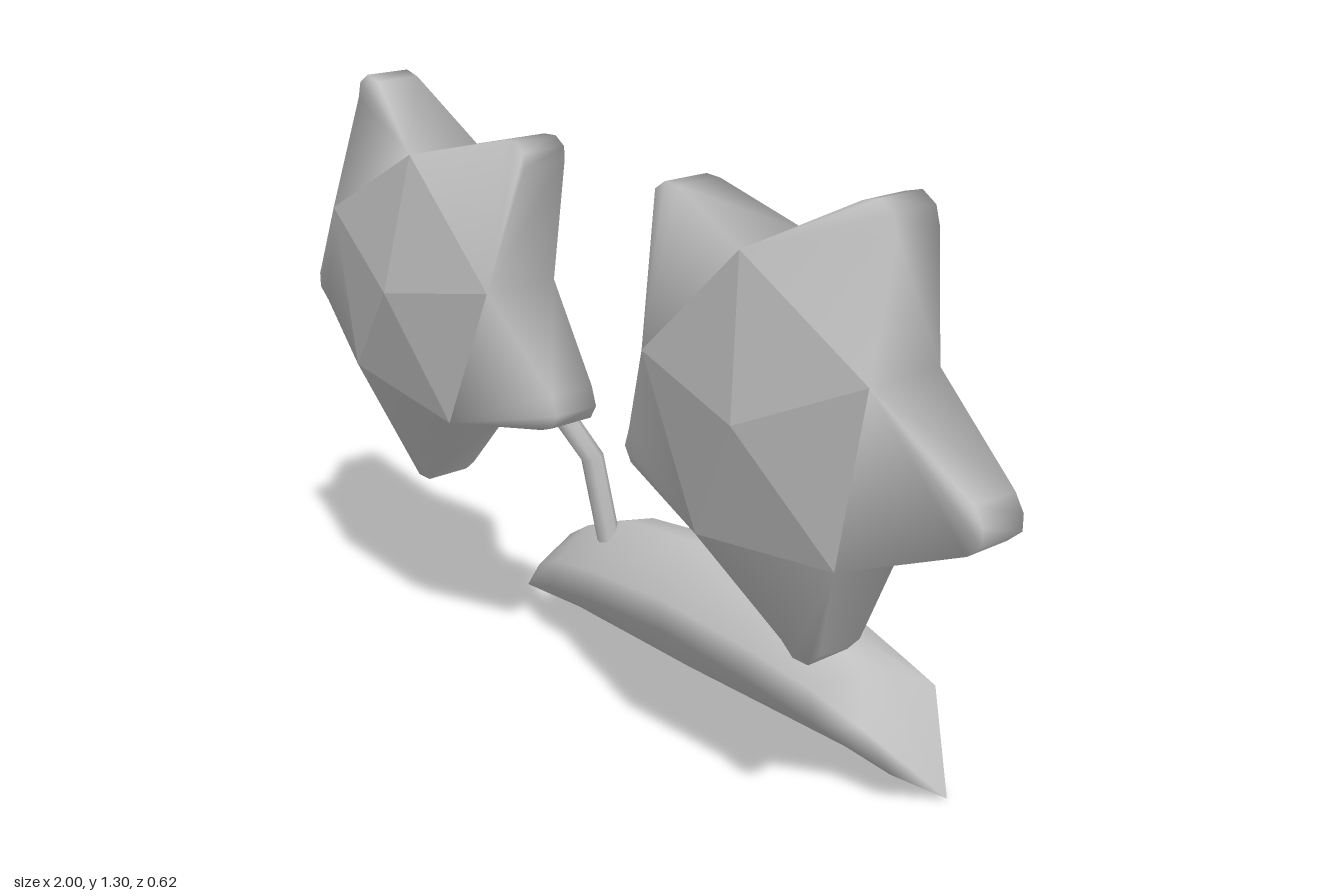
import * as THREE from 'three';
import { mergeVertices } from 'three/addons/utils/BufferGeometryUtils.js';

const grey = new THREE.MeshStandardMaterial({ color: 0xc0c0c0, side: THREE.DoubleSide });
grey.name = 'plain grey';

// Mesh from points and triangles; flat splits the corners, otherwise they are smoothed
function makeMesh(name, points, triangles, flat = false) {
  let g = new THREE.BufferGeometry();
  g.setAttribute('position', new THREE.Float32BufferAttribute(points.flat(), 3));
  g.setIndex(triangles.flat());
  g = flat ? g.toNonIndexed() : mergeVertices(g, 1e-4);
  g.computeVertexNormals();
  const mesh = new THREE.Mesh(g, grey);
  mesh.name = name;
  return mesh;
}

// Star outline, clockwise from the top: inner corner, then its rounded arm tip
const inner = [[0.497, 1.177], [0.807, 1.01], [0.743, 0.663], [0.39, 0.62], [0.24, 0.936]];
const tips = [
  [[0.711, 1.29], [0.75, 1.3], [0.781, 1.28], [0.791, 1.245]],
  [[0.98, 0.84], [1, 0.807], [1, 0.775], [0.97, 0.749]],
  [[0.65, 0.45], [0.62, 0.418], [0.58, 0.418], [0.55, 0.443]],
  [[0.16, 0.652], [0.125, 0.665], [0.107, 0.695], [0.12, 0.735]],
  [[0.198, 1.187], [0.198, 1.219], [0.225, 1.237], [0.262, 1.235]],
];
const BACK = 0.085, TIP = 0.186, INNER = 0.255, APEX = 0.308;

function makeStar(side) {
  const star = new THREE.Group();
  star.name = side > 0 ? 'leftStar' : 'rightStar';
  const wind = (t) => (side > 0 ? t : [t[0], t[2], t[1]]);
  const front = [], back = [];
  inner.forEach((v, i) => {
    front.push([side * v[0], v[1], INNER]);
    tips[i].forEach((p) => front.push([side * p[0], p[1], TIP]));
  });
  front.forEach((p) => back.push([p[0], p[1], BACK]));
  const n = front.length;
  const points = [...front, ...back, [side * 0.53, 0.88, BACK]];
  const tris = [];
  for (let i = 0; i < n; i++) {
    const j = (i + 1) % n;
    tris.push([i, j, n + j], [i, n + j, n + i], [2 * n, n + i, n + j]);
  }
  // Sloping arm fronts
  for (let a = 0; a < n; a += 5) {
    for (let k = 1; k < 5; k++) tris.push([a, (a + k + 1) % n, a + k]);
  }
  star.add(makeMesh('starArms', points, tris.map(wind)));

  // Faceted five-sided cap
  const cap = [...inner.map((v) => [side * v[0], v[1], INNER]), [side * 0.537, 0.883, APEX]];
  star.add(makeMesh('starCap', cap, inner.map((_, i) => wind([5, (i + 1) % 5, i])), true));
  return star;
}

// Bent stem from the headband to the back of a star
function makeStem(side) {
  const curve = new THREE.CatmullRomCurve3([
    [0.28, 0.295, -0.085], [0.307, 0.487, -0.063], [0.37, 0.622, 0.0], [0.435, 0.715, 0.095],
  ].map(([x, y, z]) => new THREE.Vector3(side * x, y, z)));
  curve.getPointAt = curve.getPoint;
  const stem = new THREE.Mesh(new THREE.TubeGeometry(curve, 3, 0.026, 7), grey);
  stem.name = side > 0 ? 'leftStem' : 'rightStem';
  return stem;
}

// Open headband shell: sections from the middle to one end, each from front rim to back rim
function makeHeadband() {
  const half = [
    [[0, 0.085, -0.08], [0, 0.2, 0.003], [0, 0.275, 0.008], [0, 0.374, -0.097], [0, 0.356, -0.19], [0, 0.28, -0.31]],
    [[0.25, 0.052, -0.127], [0.25, 0.175, -0.01], [0.25, 0.25, -0.008], [0.25, 0.341, -0.11], [0.25, 0.325, -0.19], [0.27, 0.24, -0.303]],
    [[0.4, 0.032, -0.155], [0.43, 0.14, -0.03], [0.41, 0.21, -0.035], [0.4, 0.278, -0.12], [0.41, 0.265, -0.19], [0.43, 0.195, -0.297]],
    [[0.5, 0.019, -0.174], [0.588, 0.075, -0.086], [0.52, 0.155, -0.07], [0.47, 0.233, -0.125], [0.48, 0.22, -0.195], [0.513, 0.17, -0.294]],
    Array(6).fill([0.638, 0, -0.2]),
  ];
  const mirrored = half.slice(1).reverse().map((s) => s.map(([x, y, z]) => [-x, y, z]));
  const sections = [...mirrored, ...half];
  const tris = [];
  for (let i = 0; i < sections.length - 1; i++) {
    for (let j = 0; j < 5; j++) {
      const a = i * 6 + j, b = a + 6;
      // Triangles collapsed at the pointed ends are left out
      if (i < sections.length - 2) tris.push([a, b, b + 1]);
      else tris.push([a, b, a + 1]);
      if (i > 0 && i < sections.length - 2) tris.push([a, b + 1, a + 1]);
    }
  }
  return makeMesh('headband', sections.flat(), tris);
}

export function createModel() {
  const model = new THREE.Group();
  model.name = 'starHeadband';
  model.add(makeHeadband());
  for (const side of [1, -1]) model.add(makeStar(side), makeStem(side));
  return model;
}
